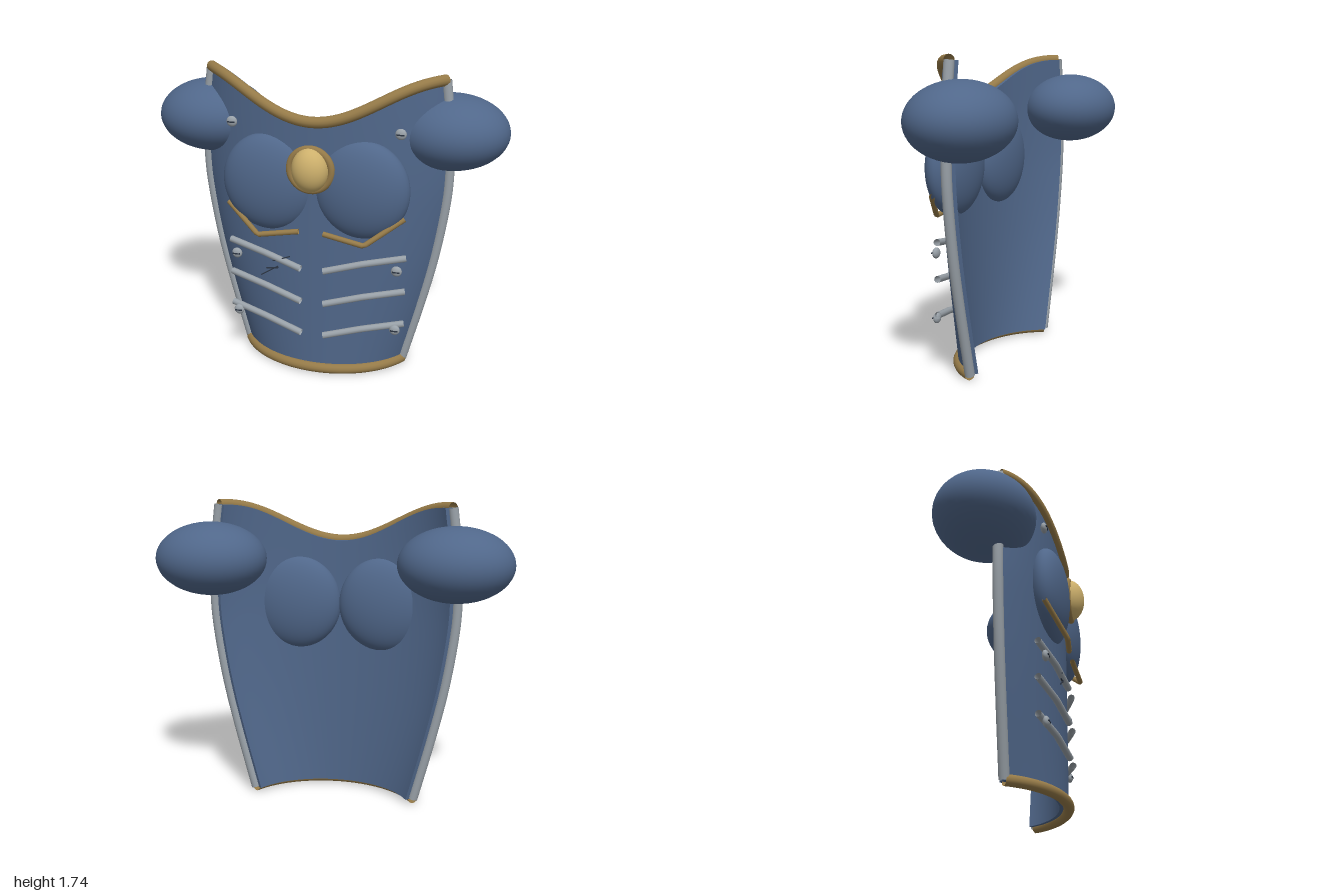
import * as THREE from 'three';

const mat = (name, color, side = THREE.DoubleSide) => {
  const m = new THREE.MeshStandardMaterial({ color, side });
  m.name = name;
  return m;
};

export function createModel() {
  const group = new THREE.Group();
  const blue = mat('blue steel', 0x50678a);
  const bronze = mat('bronze trim', 0x957a48);
  const gold = mat('pale gold', 0xcdb06c);
  const silver = mat('silver', 0x99a1a8);
  const dark = mat('dark groove', 0x2b3442);

  const add = (name, geometry, material, x = 0, y = 0, z = 0) => {
    const mesh = new THREE.Mesh(geometry, material);
    mesh.name = name;
    mesh.position.set(x, y, z);
    group.add(mesh);
    return mesh;
  };
  const vec = (p) => new THREE.Vector3(...p);
  const ellipsoid = (rx, ry, rz) => new THREE.SphereGeometry(1, 40, 28).scale(rx, ry, rz);

  // Half width of the breastplate by height
  const outline = new THREE.SplineCurve([[0.475, 0.03], [0.57, 0.4], [0.637, 0.7], [0.683, 1.0],
    [0.696, 1.2], [0.688, 1.45], [0.655, 1.72]].map((p) => new THREE.Vector2(...p)));
  const rows = outline.getPoints(120);
  const halfWidth = (y) => {
    const i = Math.max(1, rows.findIndex((p) => p.y >= y));
    const a = rows[i - 1], b = rows[i];
    return a.x + (b.x - a.x) * (y - a.y) / (b.y - a.y);
  };

  // Point on the plate: t runs -1..1 across, v 0..1 up, depth goes inward
  const SPAN = 65 * Math.PI / 180, BOTTOM = 0.03, THICK = 0.05;
  const platePoint = (t, v, depth = 0) => {
    const a = t * SPAN, s = Math.sin(a) / Math.sin(SPAN);
    const top = 1.5 + 0.105 * (1 - Math.cos(Math.PI * s));
    const y = BOTTOM + (top - BOTTOM) * v;
    const bow = (Math.cos(a) - Math.cos(SPAN)) / (1 - Math.cos(SPAN));
    return new THREE.Vector3(
      s * halfWidth(y) - Math.sin(a * 0.8) * depth, y,
      -0.01 + 0.25 * bow - Math.cos(a * 0.8) * depth);
  };

  // Bends a flat grid onto a surface rule
  const sheet = (nu, nv, rule) => {
    const g = new THREE.PlaneGeometry(1, 1, nu, nv);
    const p = g.attributes.position;
    for (let i = 0; i < p.count; i++) {
      const q = rule(p.getX(i) + 0.5, p.getY(i) + 0.5);
      p.setXYZ(i, q.x, q.y, q.z);
    }
    g.computeVertexNormals();
    return g;
  };

  // Breastplate shell with closed borders
  add('breastplateOuter', sheet(48, 32, (u, v) => platePoint(2 * u - 1, v)), blue);
  add('breastplateInner', sheet(48, 32, (u, v) => platePoint(1 - 2 * u, v, THICK)), blue);
  add('breastplateTopEdge', sheet(48, 1, (u, v) => platePoint(2 * u - 1, 1, v * THICK)), blue);
  add('breastplateBottomEdge', sheet(48, 1, (u, v) => platePoint(1 - 2 * u, 0, v * THICK)), blue);
  add('breastplateLeftEdge', sheet(1, 32, (u, v) => platePoint(1, v, u * THICK)), blue);
  add('breastplateRightEdge', sheet(1, 32, (u, v) => platePoint(-1, v, (1 - u) * THICK)), blue);

  // Rolled trims along the four borders
  const trim = (name, material, radius, at) => {
    const pts = [];
    for (let i = 0; i <= 24; i++) pts.push(at(i / 24));
    add(name, new THREE.TubeGeometry(new THREE.CatmullRomCurve3(pts), 72, radius, 14), material);
  };
  trim('neckTrim', bronze, 0.03, (k) => platePoint(2 * k - 1, 1));
  trim('waistTrim', bronze, 0.03, (k) => platePoint(2 * k - 1, 0));
  trim('leftSideTrim', silver, 0.028, (k) => platePoint(1, k));
  trim('rightSideTrim', silver, 0.028, (k) => platePoint(-1, k));

  // Straight-segment rod with rounded joints
  const rod = (name, points, radius, material) => {
    const path = new THREE.CurvePath();
    for (let i = 1; i < points.length; i++) path.add(new THREE.LineCurve3(vec(points[i - 1]), vec(points[i])));
    add(name, new THREE.TubeGeometry(path, 24, radius, 10), material);
  };

  for (const s of [1, -1]) {
    const side = s > 0 ? 'left' : 'right';
    add(side + 'Pauldron', ellipsoid(0.315, 0.205, 0.275), blue, s * 0.685, 1.415, -0.088);
    add(side + 'ChestMuscle', ellipsoid(0.265, 0.277, 0.112), blue, s * 0.26, 1.135, 0.192);
    rod(side + 'ChestChevron', [[s * 0.5, 0.995, 0.2], [s * 0.3, 0.855, 0.295], [s * 0.07, 0.89, 0.275]], 0.015, bronze);

    // Abdominal ribs
    for (const y of [0.752, 0.55, 0.35]) {
      rod(side + 'Rib', [[s * 0.51, y, 0.165], [s * 0.28, y - 0.037, 0.225], [s * 0.065, y - 0.09, 0.265]], 0.019, silver);
    }

    // Slotted rivets
    for (const y of [1.46, 0.683, 0.32]) {
      add(side + 'Rivet', ellipsoid(0.03, 0.03, 0.018), silver, s * 0.465, y, 0.198);
      add(side + 'RivetSlot', new THREE.BoxGeometry(0.042, 0.007, 0.008), dark, s * 0.465, y, 0.214);
    }
  }

  // Central medallion
  add('medallionRing', new THREE.TorusGeometry(0.115, 0.02, 14, 48), bronze, 0, 1.25, 0.275);
  add('medallionGem', ellipsoid(0.102, 0.123, 0.085), gold, 0, 1.252, 0.277);

  // Battle scratches
  for (const [x0, y0, x1, y1] of [[-0.3, 0.59, -0.2, 0.655], [-0.27, 0.635, -0.2, 0.645], [-0.23, 0.685, -0.13, 0.722]]) {
    const scratch = add('scratch', new THREE.BoxGeometry(Math.hypot(x1 - x0, y1 - y0), 0.005, 0.006), dark,
      (x0 + x1) / 2, (y0 + y1) / 2, 0.252);
    scratch.rotation.z = Math.atan2(y1 - y0, x1 - x0);
  }

  return group;
}
